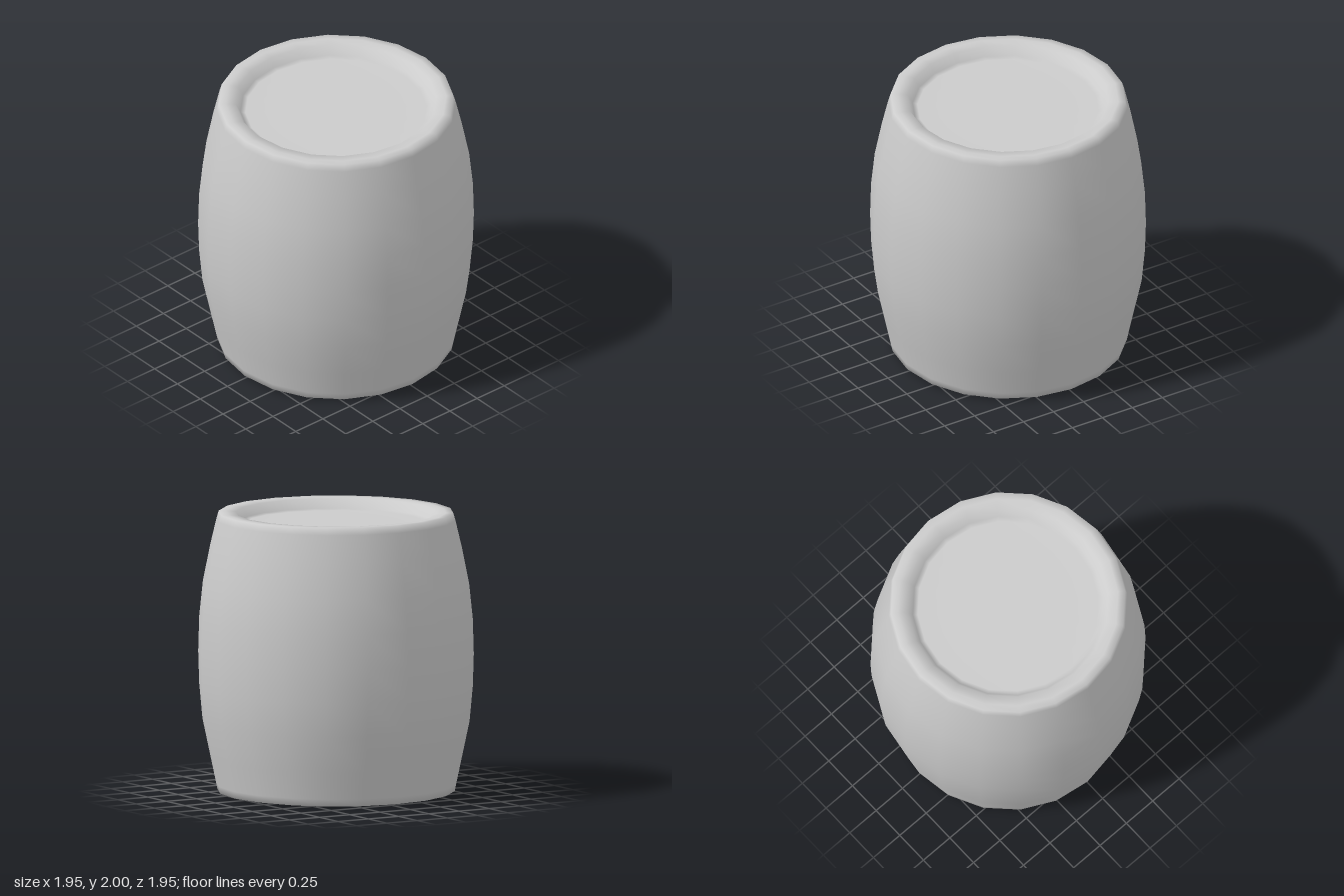
import * as THREE from 'three';

export function createModel() {
  const group = new THREE.Group();
  group.name = 'barrel';

  // Half profile as [radius, height]: underside, bulging wall, rim, recessed lid
  const profile = [
    [0, 0], [0.5, 0.004], [0.78, 0.01], [0.84, 0.02],
    [0.85, 0.07], [0.89, 0.26], [0.945, 0.52], [0.968, 0.77], [0.975, 1],
    [0.968, 1.25], [0.942, 1.5], [0.89, 1.76], [0.845, 1.95],
    [0.83, 2], [0.78, 2], [0.71, 1.995],
    [0.675, 1.93], [0.64, 1.92], [0.4, 1.92], [0, 1.92],
  ].map(([r, y]) => new THREE.Vector2(r, y));

  const body = new THREE.Mesh(
    new THREE.LatheGeometry(profile, 20),
    new THREE.MeshStandardMaterial({ color: 0xcccccc })
  );
  body.name = 'barrelBody';
  group.add(body);
  return group;
}
